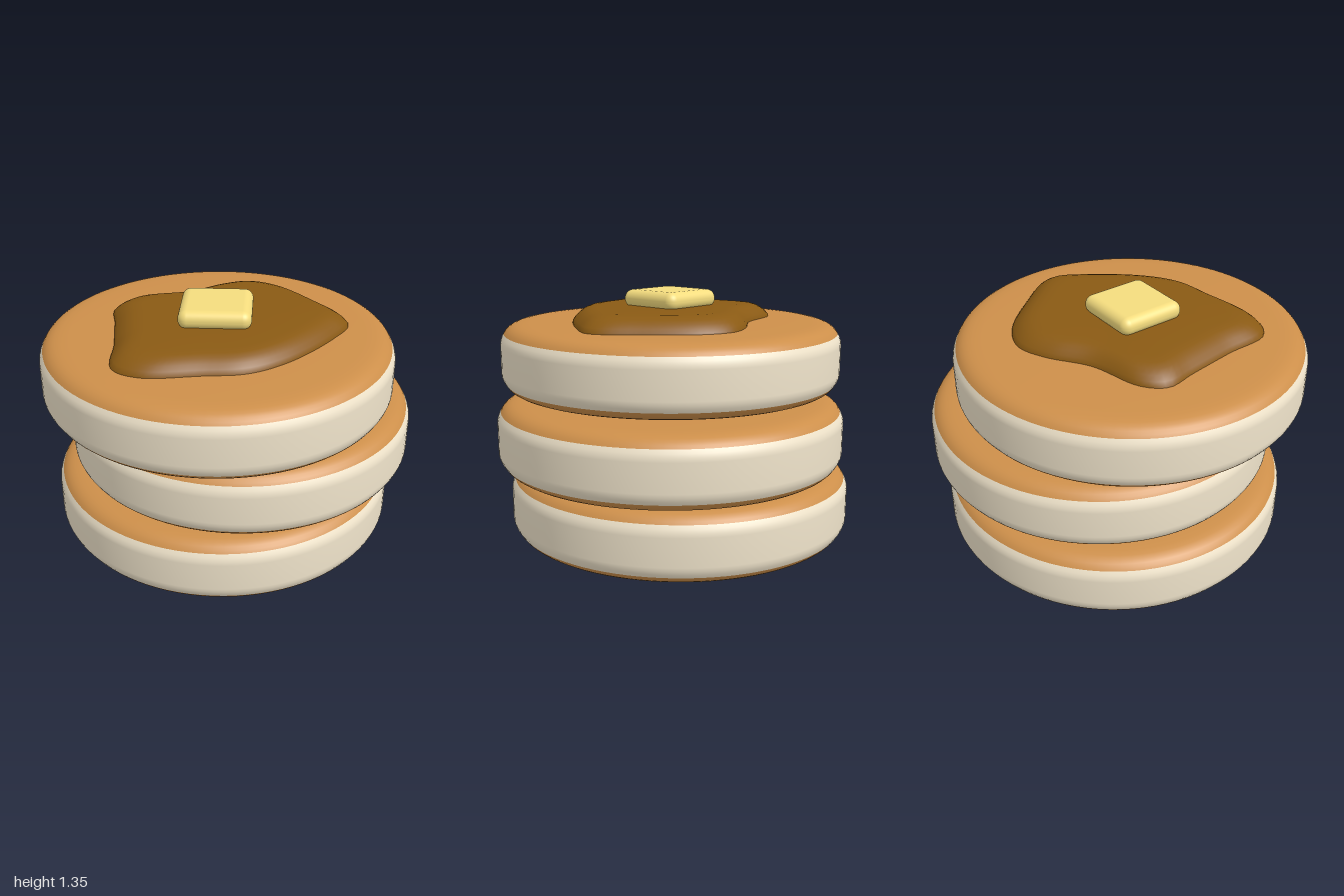
import * as THREE from 'three';
import { RoundedBoxGeometry } from 'three/addons/geometries/RoundedBoxGeometry.js';

const mat = (color) => new THREE.MeshStandardMaterial({ color, roughness: 0.7 });
const brown = mat(0xcd8f4a), cream = mat(0xf0e4cb), syrupMat = mat(0x8a5a14), butterMat = mat(0xf4dc7e);

function part(name, geometry, material) {
  const m = new THREE.Mesh(geometry, material);
  m.name = name;
  return m;
}

const lathe = (pts) => new THREE.LatheGeometry(pts.map(([r, y]) => new THREE.Vector2(r, y)), 96);

// One pancake centred on its own origin: two browned faces and a pale rim
function makePancake() {
  const face = [[0.92, 0.134], [0.91, 0.148], [0.896, 0.161], [0.878, 0.172], [0.855, 0.18], [0.825, 0.185],
    [0.78, 0.188], [0.6, 0.192], [0.3, 0.195], [0, 0.196]];
  const half = [[0.94, 0.075], [0.938, 0.095], [0.931, 0.115], [0.92, 0.134]];
  const flip = (pts) => pts.map(([r, y]) => [r, -y]).reverse();
  const g = new THREE.Group();
  g.add(
    part('topCrust', lathe(face), brown),
    part('bottomCrust', lathe(flip(face)), brown),
    part('rim', lathe([...flip(half), [0.94, 0], ...half]), cream),
  );
  return g;
}

// Syrup puddle: rings of a closed spline outline, drawn inward as they rise
function makeSyrup() {
  const outline = [[0.1, -0.535], [0.27, -0.475], [0.49, -0.25], [0.635, -0.03], [0.56, 0.14], [0.32, 0.44],
    [0.12, 0.575], [-0.1, 0.61], [-0.4, 0.64], [-0.545, 0.56], [-0.575, 0.3], [-0.615, 0.02],
    [-0.64, -0.15], [-0.55, -0.255], [-0.27, -0.34], [-0.06, -0.48]];
  const curve = new THREE.CatmullRomCurve3(outline.map(([x, z]) => new THREE.Vector3(x, 0, z)), true);
  const N = 96, cz = 0.05;
  const edge = curve.getSpacedPoints(N).slice(0, N);
  const rings = [[1, 1.165], [0.995, 1.185], [0.97, 1.203], [0.93, 1.223], [0.88, 1.241], [0.82, 1.252],
    [0.74, 1.258], [0.5, 1.26], [0.2, 1.26]];
  const pos = [], idx = [];
  for (const [s, y] of rings) for (const p of edge) pos.push(p.x * s, y, cz + (p.z - cz) * s);
  pos.push(0, 1.26, cz);
  const last = rings.length - 1;
  for (let i = 0; i < N; i++) {
    const j = (i + 1) % N;
    for (let k = 0; k < last; k++) {
      const a = k * N + i, b = k * N + j;
      idx.push(a, a + N, b, b, a + N, b + N);
    }
    idx.push(last * N + i, rings.length * N, last * N + j);
  }
  const g = new THREE.BufferGeometry();
  g.setAttribute('position', new THREE.Float32BufferAttribute(pos, 3));
  g.setIndex(idx);
  g.computeVertexNormals();
  return part('syrup', g, syrupMat);
}

export function createModel() {
  const model = new THREE.Group();
  model.name = 'pancakeStack';

  // Three pancakes, each shifted a little
  const stack = [['bottomPancake', -0.037, 0.196, -0.035], ['middlePancake', 0.06, 0.59, -0.055],
    ['topPancake', -0.06, 0.986, 0.055]];
  for (const [name, x, y, z] of stack) {
    const p = makePancake();
    p.name = name;
    p.position.set(x, y, z);
    model.add(p);
  }

  model.add(makeSyrup());

  // Butter pat
  const butter = part('butter', new RoundedBoxGeometry(0.38, 0.1, 0.38, 5, 0.048), butterMat);
  butter.position.set(-0.065, 1.295, 0.065);
  model.add(butter);
  return model;
}
